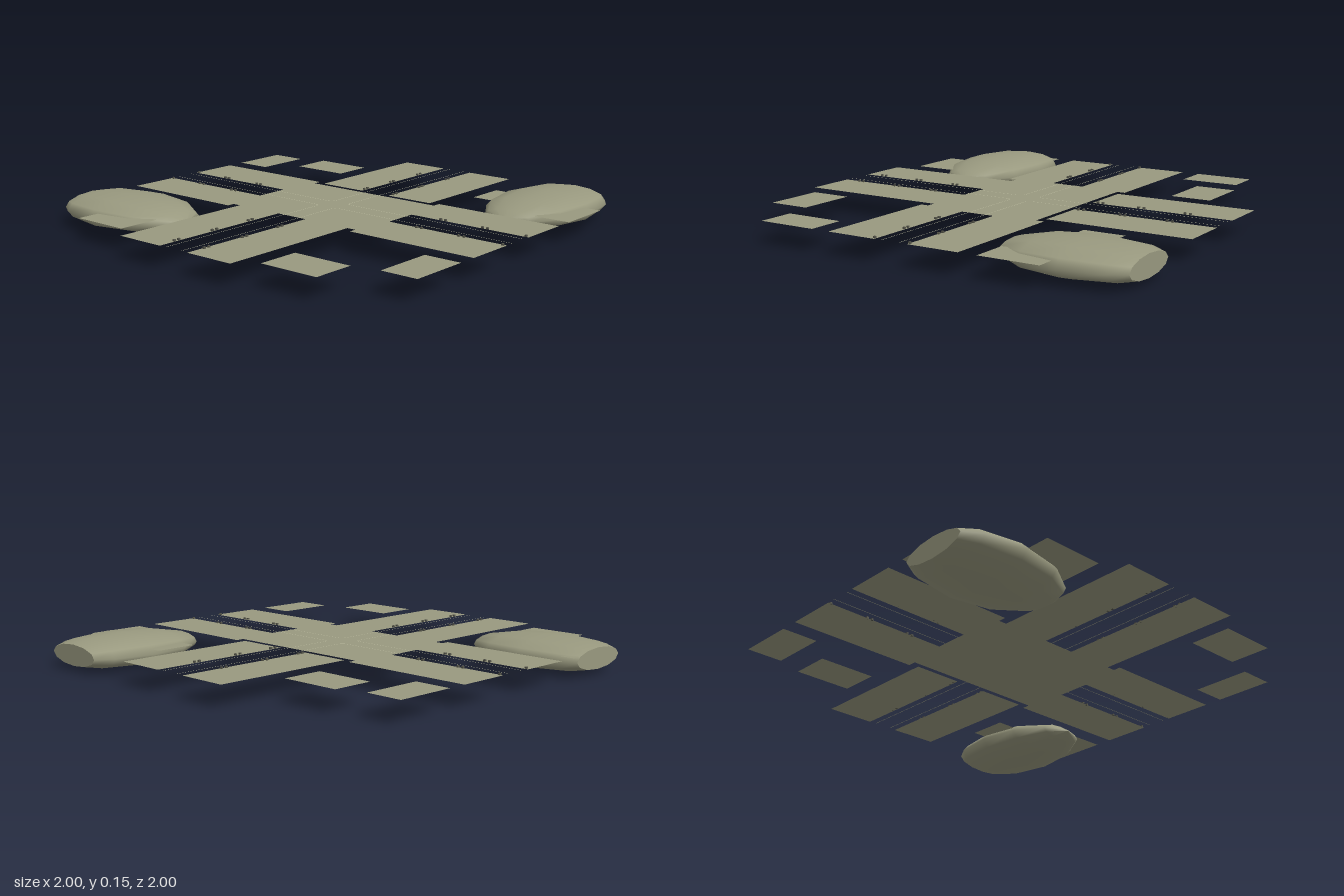
import * as THREE from 'three';

const LEVEL = 0.107; // height of all flat ground

const olive = new THREE.MeshStandardMaterial({ color: 0x99997f, side: THREE.DoubleSide });
const pale = new THREE.MeshStandardMaterial({ color: 0xb4b498, side: THREE.DoubleSide });
const dark = new THREE.MeshStandardMaterial({ color: 0x55554a });

function add(parent, name, geometry, material) {
  const mesh = new THREE.Mesh(geometry, material);
  mesh.name = name;
  parent.add(mesh);
  return mesh;
}

// Flat rectangle between two ground corners
function slab(parent, name, x0, x1, z0, z1) {
  const geometry = new THREE.PlaneGeometry(x1 - x0, z1 - z0);
  geometry.rotateX(-Math.PI / 2);
  geometry.translate((x0 + x1) / 2, LEVEL, (z0 + z1) / 2);
  return add(parent, name, geometry, olive);
}

// Flattened twelve-sided dome, cut flat at the edge of the site; long axis is y
function mound(name) {
  const group = new THREE.Group();
  group.name = name;
  const rx = 0.243, ry = 0.074, rLong = 0.385, cut = -0.27 / rLong, cutRadius = 0.663;
  const profile = [new THREE.Vector2(cutRadius, cut)];
  for (let a = 120; a >= 0; a -= 30) {
    const t = THREE.MathUtils.degToRad(a);
    profile.push(new THREE.Vector2(Math.max(0, Math.sin(t)), Math.cos(t)));
  }
  const cap = [new THREE.Vector2(0, cut), new THREE.Vector2(cutRadius, cut)];
  for (const [part, points] of [['moundBody', profile], ['moundCutFace', cap]]) {
    const geometry = new THREE.LatheGeometry(points, 12);
    geometry.scale(rx, rLong, ry);
    geometry.rotateX(Math.PI / 2); // long axis to +z, thin axis to y
    add(group, part, geometry, olive);
  }
  return group;
}

// L-shaped kerb line with a rounded inner corner
function kerbGeometry() {
  const e = 0.0435, w = 0.003, r = 0.03;
  const s = new THREE.Shape();
  s.moveTo(1, e);
  s.lineTo(e + r, e);
  s.quadraticCurveTo(e, e, e, e + r);
  s.lineTo(e, 1);
  s.lineTo(e + w, 1);
  s.lineTo(e + w, e + r);
  s.quadraticCurveTo(e + w, e + w, e + r, e + w);
  s.lineTo(1, e + w);
  s.closePath();
  const geometry = new THREE.ShapeGeometry(s, 4);
  geometry.rotateX(-Math.PI / 2);
  return geometry;
}

export function createModel() {
  const model = new THREE.Group();
  model.name = 'crossroads';

  // Central square with short ears reaching into the side lanes
  slab(model, 'centralSquare', -0.365, 0.365, -0.29, 0.285);
  for (const [x0, x1] of [[-0.39, -0.365], [0.365, 0.39]]) {
    slab(model, 'squareEar', x0, x1, -0.085, 0.08);
  }

  // Paired pavements along the four arms
  for (const [x0, x1] of [[-0.325, -0.082], [0.08, 0.322]]) {
    slab(model, 'backPavement', x0, x1, -1, -0.315);
    slab(model, 'frontPavement', x0, x1, 0.285, 1);
  }
  for (const [z0, z1] of [[-0.33, -0.085], [0.08, 0.322]]) {
    slab(model, 'rightPavement', -1, -0.365, z0, z1);
    slab(model, 'leftPavement', 0.365, 1, z0, z1);
  }

  // Building plots in every corner
  for (const [x0, x1] of [[-1, -0.825], [0.825, 1]]) {
    slab(model, 'outerPlot', x0, x1, -0.7, -0.418);
    slab(model, 'outerPlot', x0, x1, 0.41, 0.695);
  }
  for (const [x0, x1] of [[-0.7, -0.415], [0.41, 0.697]]) {
    slab(model, 'innerPlot', x0, x1, -0.745, -0.55);
    slab(model, 'innerPlot', x0, x1, 0.72, 0.92);
  }

  // Kerb lines, one for each corner
  const kerb = kerbGeometry();
  for (const sx of [-1, 1]) {
    for (const sz of [-1, 1]) {
      const line = add(model, 'kerbLine', kerb, pale);
      line.scale.set(sx, 1, sz);
      line.position.set(0, LEVEL + 0.001, sz > 0 ? 0 : -0.003);
    }
  }

  // Tiny street fittings, in pairs on the pavement edges
  const fitting = new THREE.BoxGeometry(0.01, 0.008, 0.01);
  const fit = (x, z) =>
    add(model, 'streetFitting', fitting, dark).position.set(x, LEVEL + 0.004, z);
  for (const side of [-0.089, 0.089]) {
    for (const offset of [-0.013, 0.013]) {
      for (const z of [-0.787, -0.56, -0.353, 0.46, 0.68, 0.9]) fit(side, z + offset);
      for (const x of [-0.78, -0.56, 0.56, 0.78]) fit(x + offset, side);
    }
    fit(0.985, side);
    fit(-0.985, side);
  }

  // Two low mounds, cut off at the site boundary
  const backMound = mound('backLeftMound');
  backMound.position.set(0.7, 0.082, -0.73);
  const sideMound = mound('frontRightMound');
  sideMound.position.set(-0.73, 0.082, 0.598);
  sideMound.rotation.y = Math.PI / 2;
  model.add(backMound, sideMound);

  return model;
}
